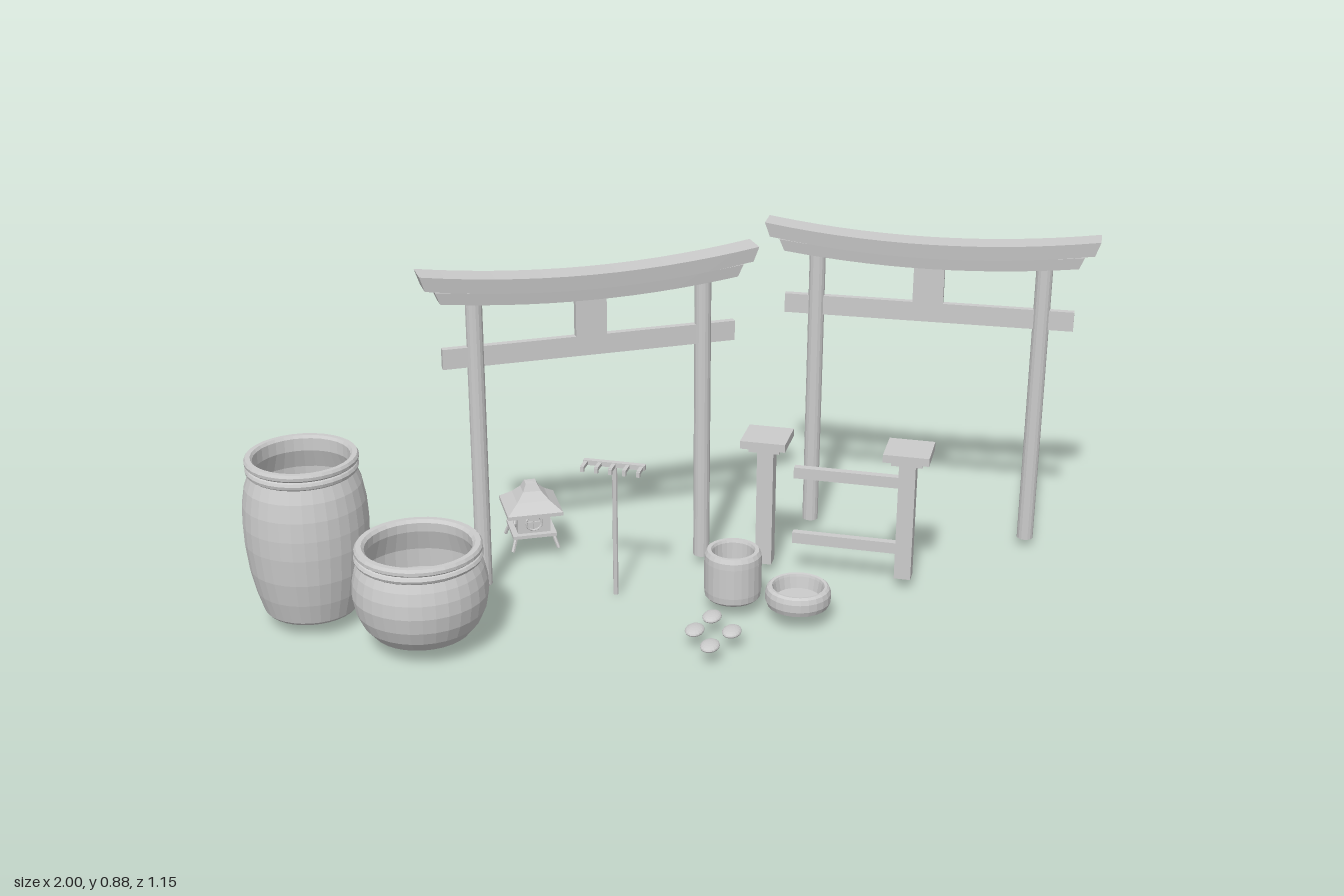
import * as THREE from 'three';

const mat = new THREE.MeshStandardMaterial({ color: 0xcccccc, flatShading: true });
const matDouble = new THREE.MeshStandardMaterial({ color: 0xcccccc, flatShading: true, side: THREE.DoubleSide });

function add(parent, name, geometry, x = 0, y = 0, z = 0, material = mat) {
  const mesh = new THREE.Mesh(geometry, material);
  mesh.name = name;
  mesh.position.set(x, y, z);
  parent.add(mesh);
  return mesh;
}

function group(parent, name, x, z, angle = 0) {
  const g = new THREE.Group();
  g.name = name;
  g.position.set(x, 0, z);
  g.rotation.y = angle;
  parent.add(g);
  return g;
}

const box = (w, h, d) => new THREE.BoxGeometry(w, h, d);

// Round bar between two points
function bar(parent, name, a, b, radius, sides = 8) {
  const from = new THREE.Vector3(...a), to = new THREE.Vector3(...b);
  const dir = to.clone().sub(from);
  const mesh = add(parent, name, new THREE.CylinderGeometry(radius, radius, dir.length(), sides));
  mesh.position.copy(from).add(to).multiplyScalar(0.5);
  mesh.quaternion.setFromUnitVectors(new THREE.Vector3(0, 1, 0), dir.normalize());
  return mesh;
}

// Beam that curves up at its ends and narrows towards its underside
function curvedBeam(topLength, bottomLength, topDepth, bottomDepth, y0, y1, rise) {
  const g = new THREE.BoxGeometry(1, 1, 1, 14, 1, 1);
  const p = g.attributes.position;
  for (let i = 0; i < p.count; i++) {
    const u = p.getX(i) * 2, t = p.getY(i) + 0.5;
    const x = u * THREE.MathUtils.lerp(bottomLength, topLength, t) / 2;
    const z = p.getZ(i) * THREE.MathUtils.lerp(bottomDepth, topDepth, t);
    p.setXYZ(i, x, THREE.MathUtils.lerp(y0, y1, t) + rise * u * u, z);
  }
  g.computeVertexNormals();
  return g;
}

function gate(parent, name, x, z, angle) {
  const g = group(parent, name, x, z, angle);
  for (const side of [-1, 1]) {
    add(g, 'gatePost', new THREE.CylinderGeometry(0.0215, 0.0215, 0.77, 16), side * 0.296, 0.41, 0);
  }
  add(g, 'topBeam', curvedBeam(0.866, 0.84, 0.074, 0.064, 0.806, 0.845, 0.033));
  add(g, 'underBeam', curvedBeam(0.79, 0.765, 0.054, 0.044, 0.775, 0.807, 0.025));
  add(g, 'crossBeam', box(0.76, 0.052, 0.018), 0, 0.652, 0);
  add(g, 'centreStrut', box(0.08, 0.108, 0.02), 0, 0.73, 0);
}

// Hollow turned vessel; the profile runs from the base up, over the rim and down inside
function vessel(parent, name, x, z, profile, segments = 32) {
  const points = profile.map(([r, y]) => new THREE.Vector2(r, y));
  return add(parent, name, new THREE.LatheGeometry(points, segments), x, 0, z, matDouble);
}

function fence(parent) {
  const g = group(parent, 'fence', 0, -0.208);
  for (const x of [0.206, 0.575]) {
    add(g, 'fencePost', box(0.043, 0.33, 0.043), x, 0.195, 0);
    add(g, 'lowerCap', box(0.08, 0.015, 0.08), x, 0.362, 0);
    add(g, 'upperCap', box(0.118, 0.021, 0.118), x, 0.38, 0);
  }
  for (const y of [0.11, 0.295]) add(g, 'fenceRail', box(0.28, 0.03, 0.02), 0.42, y, 0);
}

function rake(parent) {
  const g = group(parent, 'rake', -0.14, 0.02);
  bar(g, 'rakeHandle', [0, 0, 0], [0, 0.366, 0], 0.007);
  add(g, 'rakeHead', box(0.162, 0.013, 0.014), 0, 0.365, 0);
  for (let i = -2; i <= 2; i++) {
    add(g, 'rakeTooth', box(0.01, 0.009, 0.036), i * 0.0365, 0.365, 0.022);
    add(g, 'rakeToothTip', box(0.01, 0.014, 0.006), i * 0.0365, 0.361, 0.041);
  }
}

function lantern(parent) {
  const g = group(parent, 'lantern', -0.428, -0.163, 0.49);
  // Four-sided roof with hollow slopes
  const slope = [[0, 0.134], [0.105, 0.134], [0.105, 0.144], [0.062, 0.168], [0.034, 0.19], [0.021, 0.21], [0, 0.211]];
  const roof = add(g, 'lanternRoof', new THREE.LatheGeometry(slope.map(([r, y]) => new THREE.Vector2(r, y)), 4), 0, 0, 0, matDouble);
  roof.rotation.y = Math.PI / 4;
  add(g, 'lanternBase', box(0.118, 0.009, 0.118), 0, 0.074, 0);
  add(g, 'lanternCore', box(0.07, 0.06, 0.07), 0, 0.107, 0);
  // Window panels with a round opening and a cross
  const panel = new THREE.Shape([[-0.044, -0.03], [0.044, -0.03], [0.044, 0.03], [-0.044, 0.03]].map(p => new THREE.Vector2(...p)));
  const opening = new THREE.Path();
  opening.absarc(0, 0, 0.021, 0, Math.PI * 2, true);
  panel.holes.push(opening);
  const panelGeometry = new THREE.ExtrudeGeometry(panel, { depth: 0.006, bevelEnabled: false, curveSegments: 8 });
  for (let i = 0; i < 4; i++) {
    const side = group(g, 'lanternSide', 0, 0, i * Math.PI / 2);
    add(side, 'windowPanel', panelGeometry, 0, 0.107, 0.038);
    add(side, 'windowRing', new THREE.TorusGeometry(0.021, 0.003, 6, 16), 0, 0.107, 0.044);
    add(side, 'windowBar', box(0.004, 0.042, 0.005), 0, 0.107, 0.04);
    add(side, 'windowBar', box(0.042, 0.004, 0.005), 0, 0.107, 0.04);
    bar(side, 'lanternLeg', [0.05, 0.074, 0.05], [0.062, 0.036, 0.062], 0.005, 6);
  }
}

export function createModel() {
  const model = new THREE.Group();
  model.name = 'gardenSet';

  gate(model, 'backGate', 0.566, -0.53, 0.033);
  gate(model, 'angledGate', -0.222, -0.063, 0.551);

  vessel(model, 'tallJar', -0.845, 0.34, [
    [0, 0.038], [0.113, 0.038], [0.119, 0.045], [0.135, 0.1], [0.147, 0.16], [0.154, 0.23], [0.155, 0.28],
    [0.152, 0.33], [0.144, 0.375], [0.132, 0.408], [0.137, 0.412], [0.139, 0.42], [0.136, 0.427],
    [0.133, 0.43], [0.139, 0.435], [0.14, 0.443], [0.136, 0.45], [0.124, 0.45], [0.119, 0.443],
    [0.119, 0.41], [0.138, 0.36], [0.143, 0.28], [0.132, 0.15], [0.108, 0.06], [0, 0.06]]);
  vessel(model, 'widePot', -0.525, 0.402, [
    [0, 0.04], [0.106, 0.04], [0.122, 0.047], [0.145, 0.075], [0.16, 0.11], [0.167, 0.15], [0.165, 0.185],
    [0.158, 0.215], [0.149, 0.236], [0.155, 0.24], [0.158, 0.247], [0.154, 0.254], [0.15, 0.256],
    [0.156, 0.261], [0.156, 0.269], [0.151, 0.276], [0.138, 0.276], [0.131, 0.268], [0.132, 0.245],
    [0.15, 0.19], [0.152, 0.14], [0.135, 0.085], [0.115, 0.06], [0, 0.06]]);
  vessel(model, 'bucket', 0.171, 0.025, [
    [0, 0.036], [0.064, 0.036], [0.071, 0.043], [0.073, 0.06], [0.073, 0.14], [0.072, 0.156],
    [0.066, 0.167], [0.056, 0.167], [0.053, 0.16], [0.047, 0.06], [0, 0.06]], 24);
  vessel(model, 'bowl', 0.344, 0.046, [
    [0, 0.042], [0.068, 0.042], [0.078, 0.047], [0.083, 0.06], [0.083, 0.08], [0.079, 0.092],
    [0.073, 0.097], [0.066, 0.096], [0.064, 0.09], [0.058, 0.06], [0, 0.06]], 24);

  fence(model);
  rake(model);
  lantern(model);

  // Flat stepping stones
  for (const [x, z] of [[0.15, 0.165], [0.125, 0.245], [0.215, 0.23], [0.18, 0.315]]) {
    add(model, 'steppingStone', new THREE.SphereGeometry(1, 16, 10), x, 0.044, z).scale.set(0.024, 0.01, 0.034);
  }
  return model;
}
